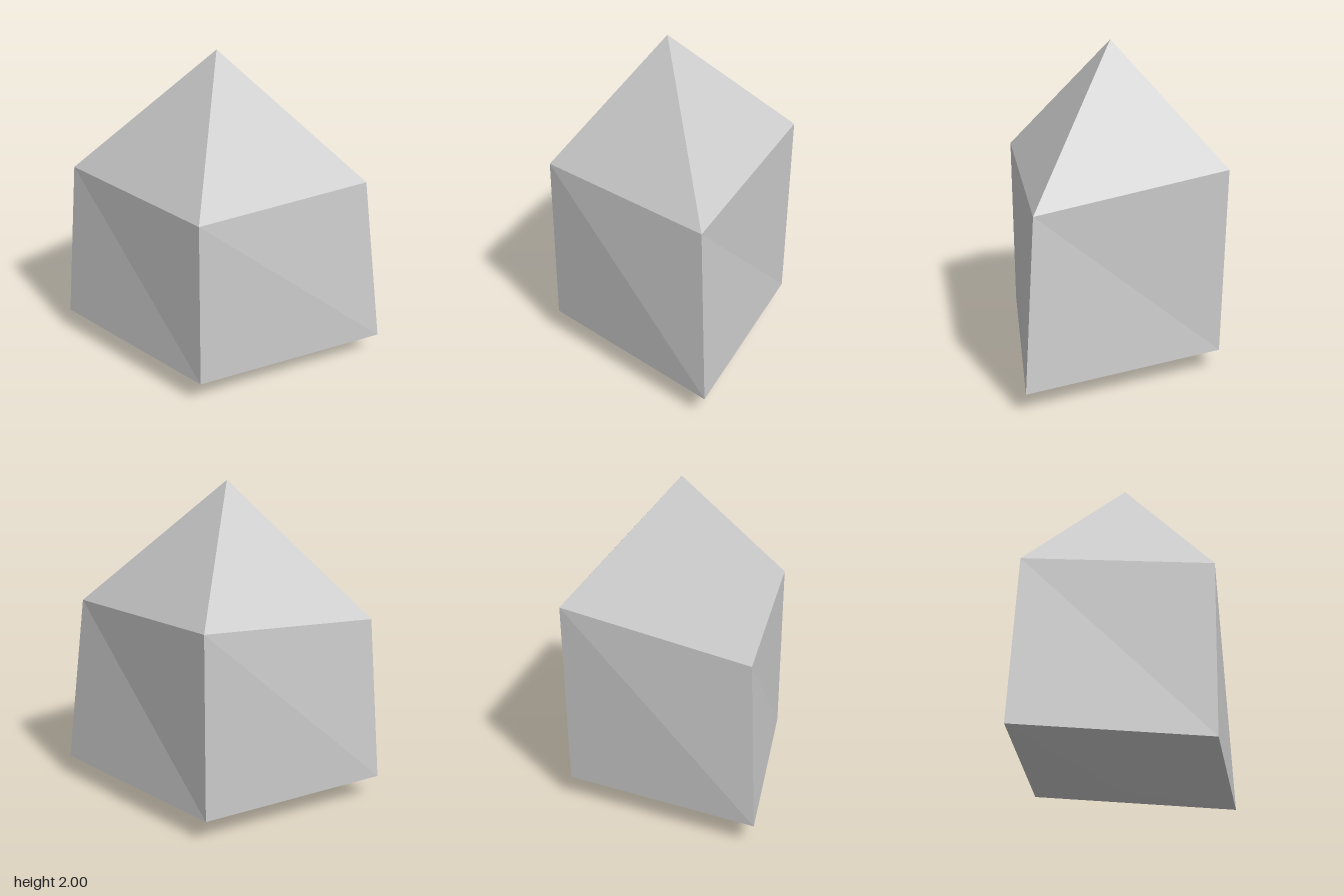
import * as THREE from 'three';

// Faceted crystal: two four-cornered rings closed by a tall tip and a shallow base.
export function createModel() {
  const axisX = -0.033, axisZ = 0.037;
  const tip = [axisX, 2, axisZ];
  const base = [axisX, 0, axisZ];

  // Each corner is [reach from the axis, height], in the order front, left, back, right
  const ring = (corners) => corners.map(([reach, y], i) => {
    const angle = i * Math.PI / 2;
    return [axisX + reach * Math.sin(angle), y, axisZ + reach * Math.cos(angle)];
  });
  const shoulder = ring([[0.713, 1.232], [0.893, 1.205], [0.785, 1.327], [0.873, 1.185]]);
  const foot = ring([[0.703, 0.158], [1.013, 0.138], [0.754, 0.147], [0.95, 0.152]]);

  // Tip, wall and base facets for each side
  const positions = [];
  const facet = (...corners) => positions.push(...corners.flat());
  for (let i = 0; i < 4; i++) {
    const j = (i + 1) % 4;
    facet(tip, shoulder[i], shoulder[j]);
    facet(shoulder[i], foot[i], foot[j]);
    facet(shoulder[i], foot[j], shoulder[j]);
    facet(base, foot[j], foot[i]);
  }

  const geometry = new THREE.BufferGeometry();
  geometry.setAttribute('position', new THREE.Float32BufferAttribute(positions, 3));
  geometry.computeVertexNormals();

  const crystal = new THREE.Mesh(
    geometry,
    new THREE.MeshStandardMaterial({ color: 0xcccccc, flatShading: true })
  );
  crystal.name = 'crystal';

  const group = new THREE.Group();
  group.name = 'facetedCrystal';
  group.add(crystal);
  return group;
}
